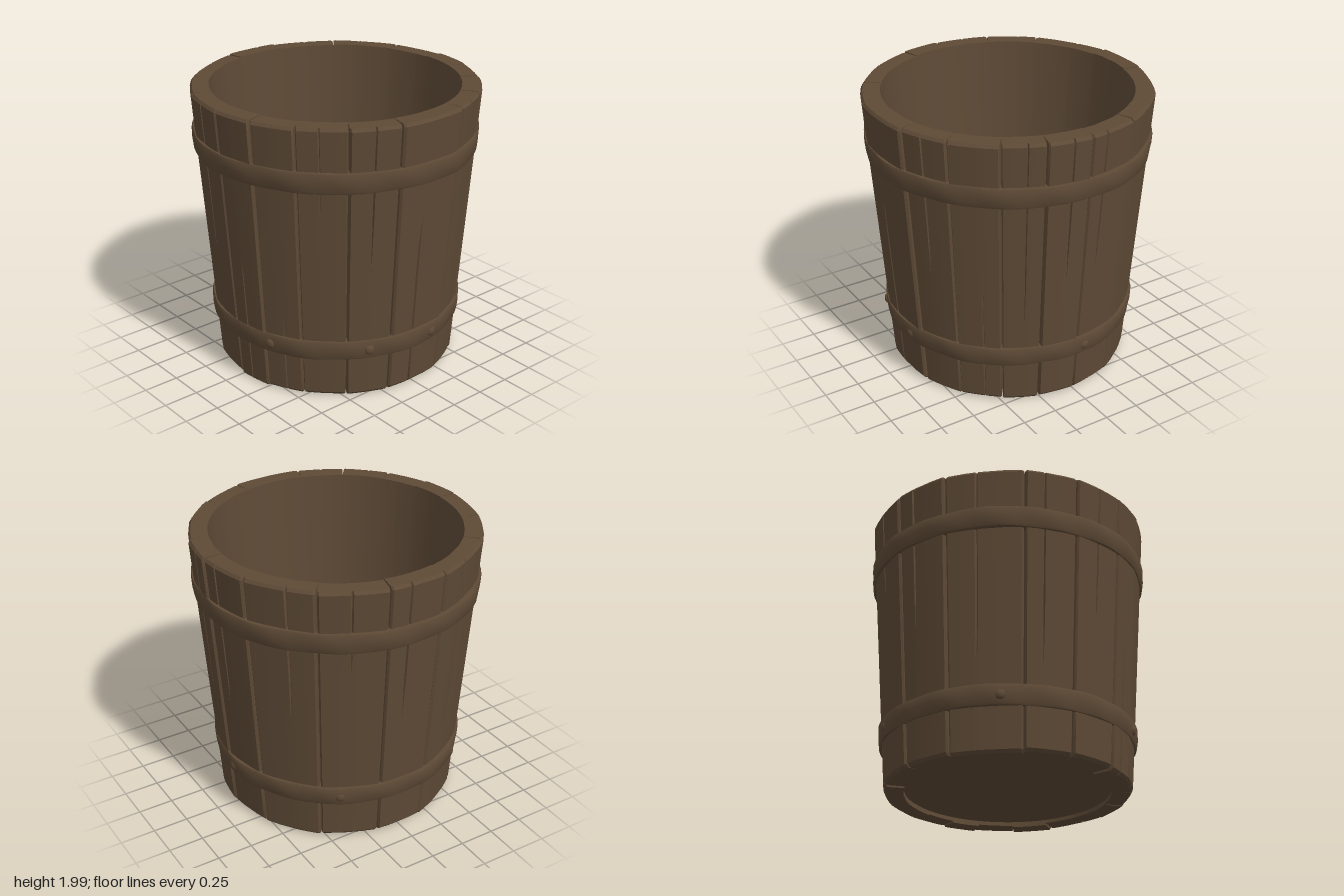
import * as THREE from 'three';
import { toCreasedNormals } from 'three/addons/utils/BufferGeometryUtils.js';

const wood = new THREE.MeshStandardMaterial({ color: 0x5e4a36 });
wood.name = 'dark brown wood';

// Seam angles between staves, in degrees around y from the front
const SEAMS = [-270, -248, -219, -192, -168, -135, -113, -90, -73, -55, -35, -15, 15, 35, 55, 72, 90];
const LEVELS = [0, 0.02, 0.3, 0.6, 0.95, 1.35, 1.65, 1.975, 1.995];

const outerRadius = (y) => 0.84 + 0.075 * y;
const innerRadius = (y) => 0.706 + 0.079 * y;

function seeded(seed) {
  return () => {
    seed = (seed * 16807) % 2147483647;
    return seed / 2147483647;
  };
}

function mesh(name, geometry) {
  const m = new THREE.Mesh(geometry, wood);
  m.name = name;
  return m;
}

// One tapered stave: a box wrapped into a wedge, with V-shaped seams and a crack
function staveGeometry(a0, a1, rand) {
  const crack = (rand() - 0.5) * 0.8;
  const columns = [-1, -0.94, -0.5, crack - 0.04, crack, crack + 0.04, 0.5, 0.94, 1];
  const fromTop = rand() > 0.45;
  const crackEnd = 2 + Math.floor(rand() * 3);
  const lift = (rand() - 0.5) * 0.014;
  const topDrop = rand() * 0.008;
  const bottomRise = rand() * 0.016;
  const lean = (rand() - 0.5) * 0.012;
  const mid = (a0 + a1) / 2;
  const half = (a1 - a0) / 2;

  const g = new THREE.BoxGeometry(1, 1, 1, 8, 8, 1);
  const p = g.attributes.position;
  for (let i = 0; i < p.count; i++) {
    const col = Math.round((p.getX(i) + 0.5) * 8);
    const row = Math.round((p.getY(i) + 0.5) * 8);
    const outside = p.getZ(i) > 0;
    const u = columns[col];
    let y = LEVELS[row];
    if (row === 0) y += bottomRise;
    if (row === 1) y += bottomRise;
    if (row >= 7) y -= topDrop;
    let r = innerRadius(y);
    let a = mid + u * half;
    if (outside) {
      const flat = half * half * (1 - u * u) * 0.15;
      r = outerRadius(y) + 0.012 + lift - flat;
      a = mid + u * (half - 0.005) + lean * Math.sin(y * 1.6) * (1 - u * u);
      if (Math.abs(u) === 1) r -= 0.014;
      if (row === 0 || row === 8) r -= 0.016;
      const cracked = fromTop ? row >= 8 - crackEnd : row <= crackEnd;
      if (col === 4 && cracked) r -= 0.016;
    }
    p.setXYZ(i, r * Math.sin(a), y, r * Math.cos(a));
  }
  return toCreasedNormals(g, 0.45);
}

// A hammered hoop with soft dents
function hoopGeometry(yLow, yHigh, rLow, rHigh, phase) {
  const inside = 0.07;
  const profile = [
    [rLow - inside, yLow], [rLow - 0.006, yLow], [rLow, yLow + 0.012],
    [(rLow + rHigh) / 2 + 0.004, (yLow + yHigh) / 2],
    [rHigh, yHigh - 0.012], [rHigh - 0.006, yHigh], [rHigh - inside, yHigh],
  ].map(([x, y]) => new THREE.Vector2(x, y));
  const g = new THREE.LatheGeometry(profile, 72);
  const p = g.attributes.position;
  for (let i = 0; i < p.count; i++) {
    const x = p.getX(i), y = p.getY(i), z = p.getZ(i);
    const a = Math.atan2(x, z);
    const dent = 0.004 * Math.sin(7 * a + phase) + 0.003 * Math.sin(16 * a + phase * 2 + y * 18);
    const k = 1 + dent;
    p.setXYZ(i, x * k, y, z * k);
  }
  return toCreasedNormals(g, 0.6);
}

// Half of the floor, with its straight edge on the centre seam
function floorPlankGeometry() {
  const shape = new THREE.Shape();
  shape.absarc(0, 0, 0.725, -Math.PI / 2 + 0.007, Math.PI / 2 - 0.007, false);
  shape.closePath();
  const g = new THREE.ExtrudeGeometry(shape, { depth: 0.03, bevelEnabled: false, curveSegments: 32 });
  g.rotateX(-Math.PI / 2);
  return g;
}

export function createModel() {
  const bucket = new THREE.Group();
  bucket.name = 'bucket';
  const rand = seeded(4217);

  // Wall of staves
  const staves = new THREE.Group();
  staves.name = 'staves';
  for (let i = 0; i < SEAMS.length - 1; i++) {
    const [a0, a1] = [SEAMS[i], SEAMS[i + 1]].map(THREE.MathUtils.degToRad);
    staves.add(mesh('stave', staveGeometry(a0, a1, rand)));
  }
  bucket.add(staves);

  // Hoops
  bucket.add(mesh('upperHoop', hoopGeometry(1.55, 1.695, 0.982, 0.992, 0.5)));
  bucket.add(mesh('lowerHoop', hoopGeometry(0.305, 0.445, 0.886, 0.896, 2.1)));

  // Worn lumps on the lower hoop
  for (const deg of [-25, 8, 94, 150, 215, 290]) {
    const a = THREE.MathUtils.degToRad(deg);
    const lump = mesh('hoopLump', new THREE.SphereGeometry(0.035, 10, 8));
    lump.position.set(0.888 * Math.sin(a), 0.37, 0.888 * Math.cos(a));
    lump.rotation.y = a;
    lump.scale.z = 0.55;
    bucket.add(lump);
  }

  // Floor: two planks over a base disc set slightly up from the rim
  const base = mesh('floorBase', new THREE.CylinderGeometry(0.725, 0.725, 0.06, 64));
  base.position.y = 0.07;
  bucket.add(base);
  for (const turn of [0, Math.PI]) {
    const plank = mesh('floorPlank', floorPlankGeometry());
    plank.rotation.y = turn;
    plank.position.set(turn ? -0.001 : 0.001, 0.095, 0);
    bucket.add(plank);
  }

  return bucket;
}
